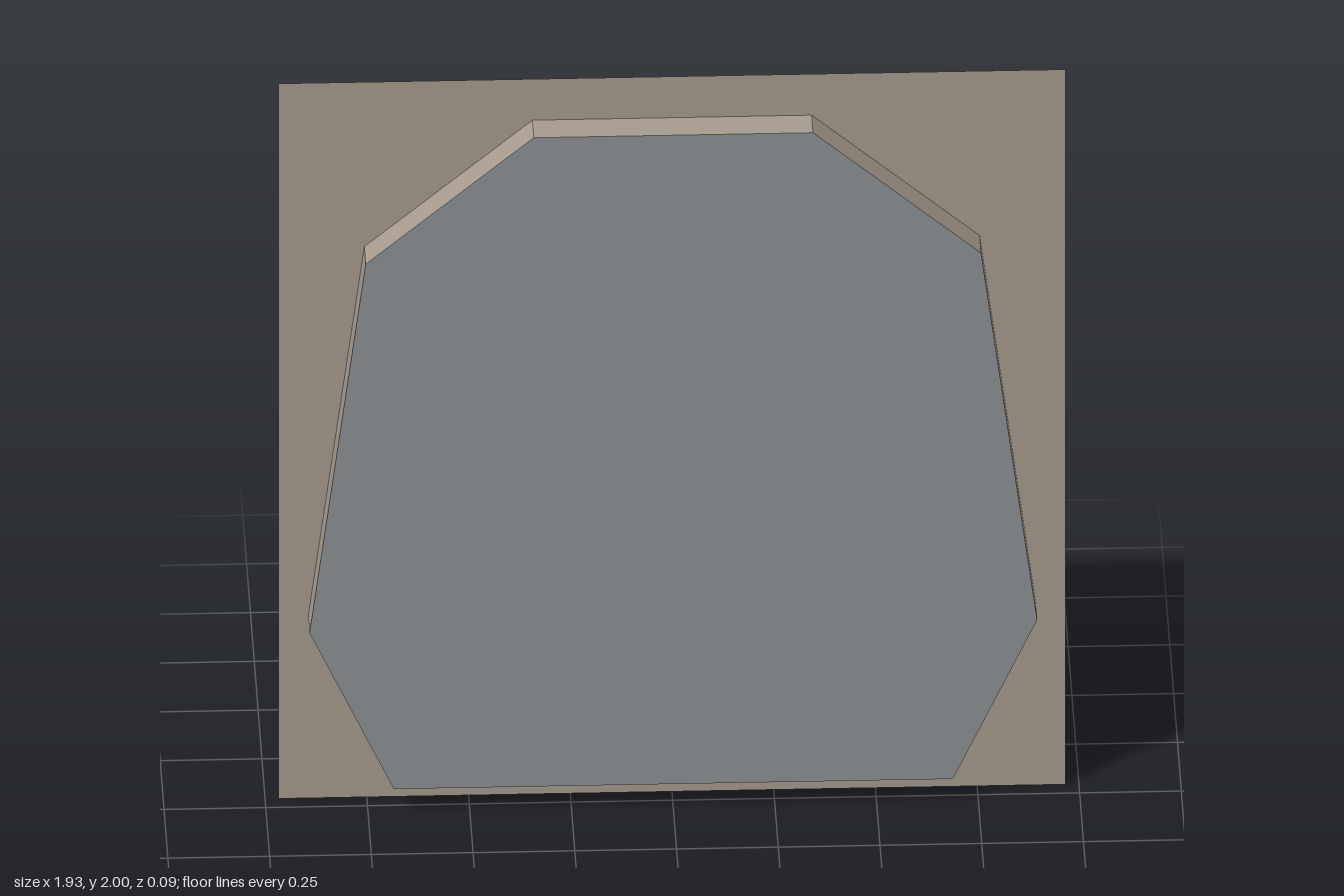
import * as THREE from 'three';

export function createModel() {
  const group = new THREE.Group();
  const surround = new THREE.MeshStandardMaterial({ color: 0xa89c8f, side: THREE.DoubleSide });
  surround.name = 'warmGreySurround';
  const pane = new THREE.MeshStandardMaterial({ color: 0x8e9396, side: THREE.DoubleSide });
  pane.name = 'coolGreyPane';

  const halfWidth = 0.967, height = 2, halfDepth = 0.045;

  // Eight-sided outline: one half, mirrored, running counter-clockwise
  const half = [[0.687, 0.07], [0.894, 0.51], [0.756, 1.54], [0.343, 1.885]];
  const outline = [...half, ...half.map(([x, y]) => [-x, y]).reverse()]
    .map(([x, y]) => new THREE.Vector2(x, y));

  const add = (name, geometry, material, z = 0) => {
    const mesh = new THREE.Mesh(geometry, material);
    mesh.name = name;
    mesh.position.z = z;
    group.add(mesh);
  };

  // Thin back sheet with the opening cut out
  const sheet = new THREE.Shape([
    new THREE.Vector2(-halfWidth, 0), new THREE.Vector2(halfWidth, 0),
    new THREE.Vector2(halfWidth, height), new THREE.Vector2(-halfWidth, height),
  ]);
  sheet.holes.push(new THREE.Path(outline));
  add('backSheet', new THREE.ShapeGeometry(sheet), surround, -halfDepth);

  // Raised front panel
  add('frontPanel', new THREE.ShapeGeometry(new THREE.Shape(outline)), pane, halfDepth);

  // Flat walls joining the opening to the panel
  const positions = [];
  outline.forEach((a, i) => {
    const b = outline[(i + 1) % outline.length];
    const back = -halfDepth, front = halfDepth;
    positions.push(
      a.x, a.y, back, b.x, b.y, back, b.x, b.y, front,
      a.x, a.y, back, b.x, b.y, front, a.x, a.y, front,
    );
  });
  const walls = new THREE.BufferGeometry();
  walls.setAttribute('position', new THREE.Float32BufferAttribute(positions, 3));
  walls.computeVertexNormals();
  add('rimWalls', walls, surround);

  return group;
}
